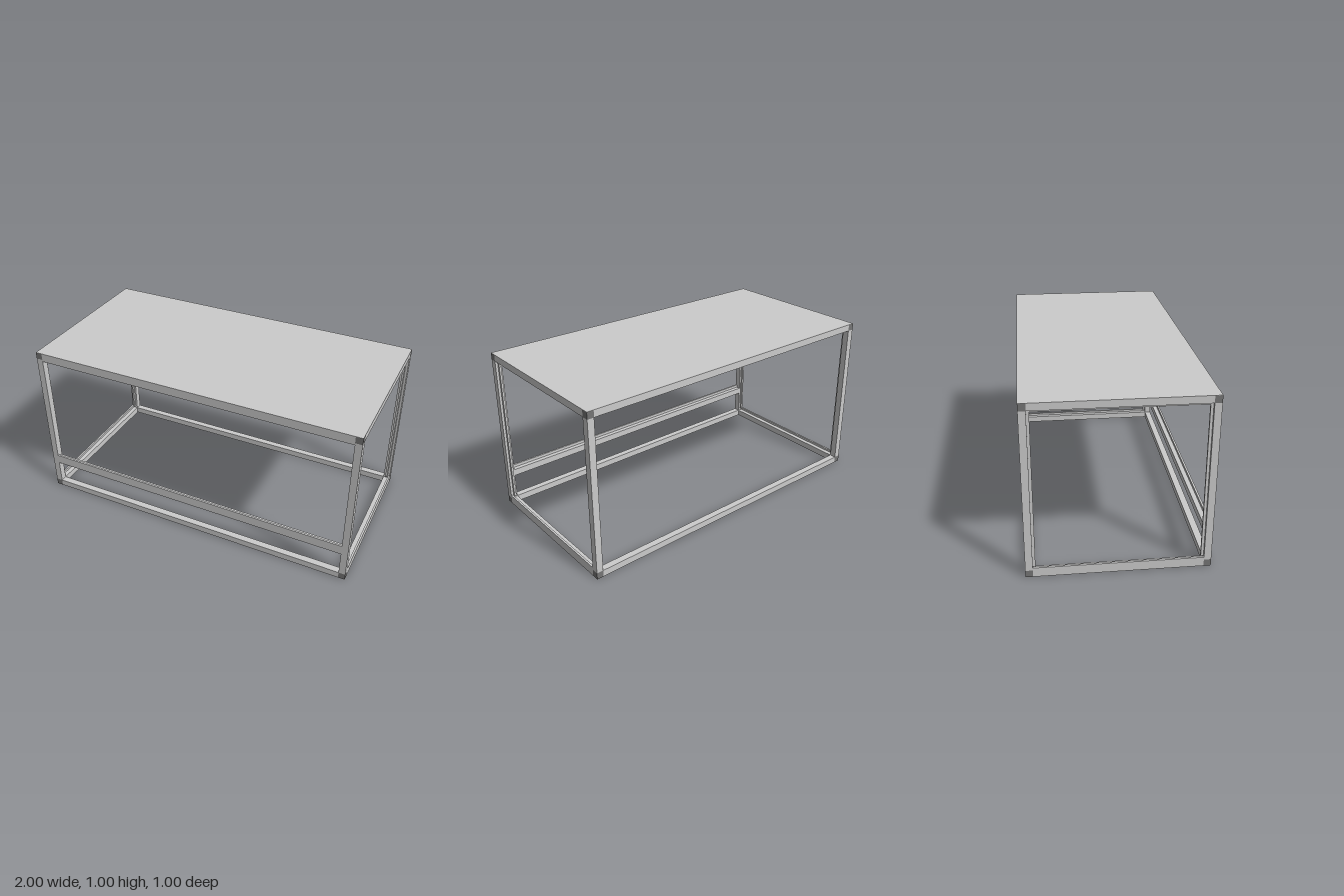
import * as THREE from 'three';

const grey = new THREE.MeshStandardMaterial({ color: 0xcccccc });
const dark = new THREE.MeshStandardMaterial({ color: 0x757575 });

const T = 0.04;         // square bar thickness
const LIP = 0.012;      // thickness of the rebate lips
const X = 0.98, Z = 0.48; // bar centre lines

// Box given by its minimum and maximum corners
function box(parent, name, min, max, material = grey) {
  const size = max.map((v, i) => v - min[i]);
  const mesh = new THREE.Mesh(new THREE.BoxGeometry(...size), material);
  mesh.position.set(...min.map((v, i) => (v + max[i]) / 2));
  mesh.name = name;
  parent.add(mesh);
  return mesh;
}

export function createModel() {
  const model = new THREE.Group();
  model.name = 'tableFrame';

  // Corner cubes and legs
  for (const sx of [-1, 1]) for (const sz of [-1, 1]) {
    const x = sx * X, z = sz * Z, h = T / 2;
    for (const y of [0, 1 - T])
      box(model, 'cornerCube', [x - h, y, z - h], [x + h, y + T, z + h], dark);
    box(model, 'leg', [x - h, T, z - h], [x + h, 1 - T, z + h]);
  }

  // Long rails, front and back
  for (const sz of [-1, 1]) for (const y of [0, 1 - T])
    box(model, 'longRail', [-0.96, y, sz * Z - T / 2], [0.96, y + T, sz * Z + T / 2]);

  // End frames: rails with a lip round the opening
  for (const sx of [-1, 1]) {
    const end = new THREE.Group();
    end.name = sx > 0 ? 'leftEnd' : 'rightEnd';
    const span = (a, b) => (sx > 0 ? [a, b] : [-b, -a]);
    const [r0, r1] = span(0.96, 1);
    for (const y of [0, 1 - T])
      box(end, 'endRail', [r0, y, -0.46], [r1, y + T, 0.46]);
    const [b0, b1] = span(1 - LIP, 1);
    box(end, 'bottomLip', [b0, T, -0.46], [b1, 0.055, 0.46]);
    const [l0, l1] = span(0.985 - LIP, 0.985);
    box(end, 'topLip', [l0, 0.948, -0.46], [l1, 0.96, 0.46]);
    box(end, 'legLip', [l0, 0.055, 0.445], [l1, 0.948, 0.46]);
    box(end, 'legLip', [l0, 0.055, -0.46], [l1, 0.948, -0.445]);
    model.add(end);
  }

  // Front opening: lipped cross brace and lip under the top rail
  box(model, 'frontBrace', [-0.96, 0.187, 0.46], [0.96, 0.228, 0.5]);
  box(model, 'frontBraceLip', [-0.96, 0.228, 0.5 - LIP], [0.96, 0.246, 0.5]);
  box(model, 'frontTopLip', [-0.96, 0.948, 0.5 - LIP], [0.96, 0.96, 0.5]);

  // Thin table top covering the frame
  box(model, 'tableTop', [-1, 0.998, -0.5], [1, 1.001, 0.5]);

  return model;
}
